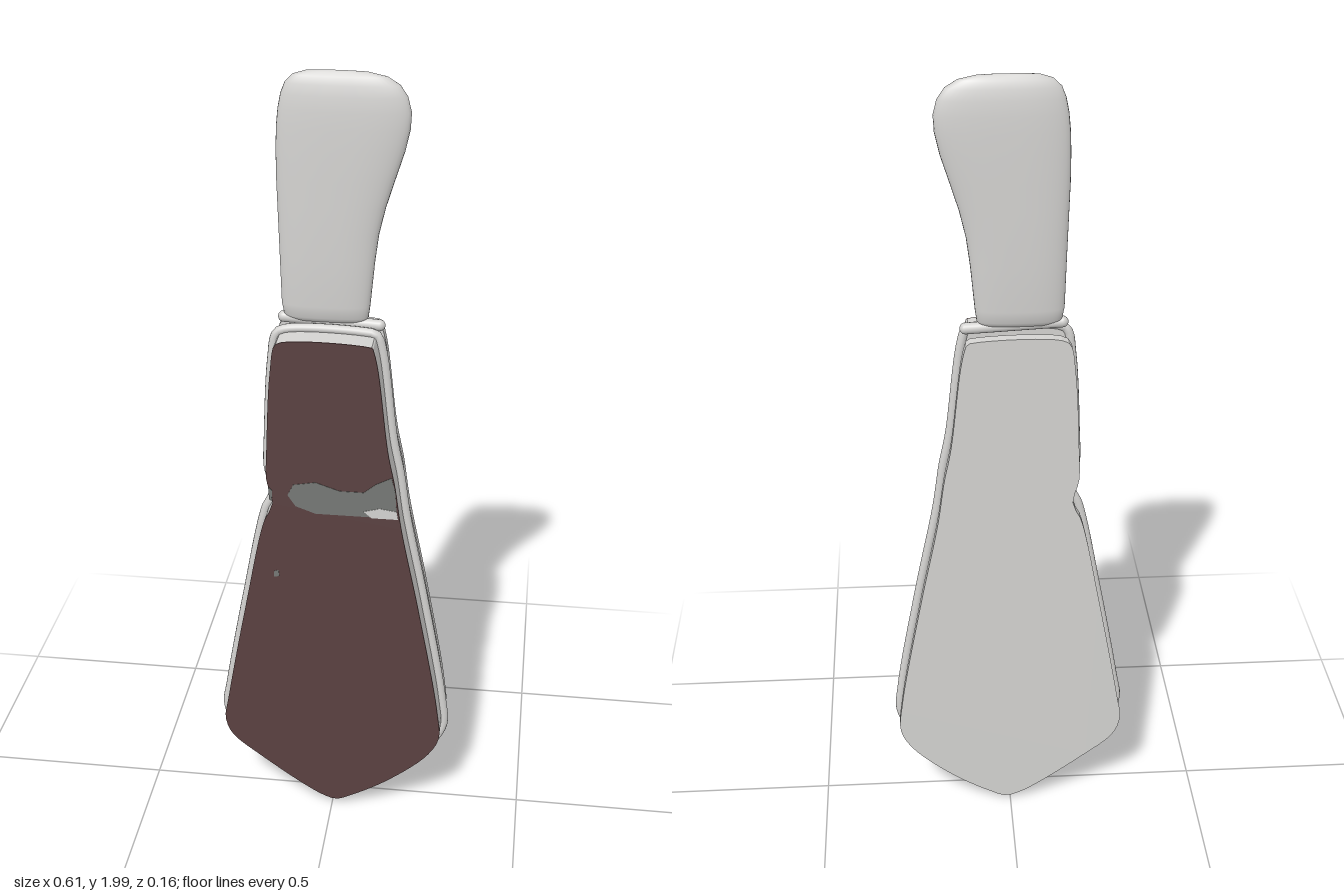
import * as THREE from 'three';

// Blade silhouette, counter-clockwise from the top left corner
const OUTLINE = [
  [-0.125, 1.392], [-0.152, 1.375], [-0.166, 1.3], [-0.178, 1.1], [-0.18, 1.0], [-0.166, 0.94],
  [-0.188, 0.89], [-0.24, 0.64], [-0.295, 0.34], [-0.305, 0.27], [-0.285, 0.21], [-0.2, 0.135],
  [-0.03, 0.018], [0.015, 0.007], [0.065, 0.028], [0.165, 0.09], [0.27, 0.185], [0.303, 0.25],
  [0.297, 0.34], [0.24, 0.655], [0.192, 0.89], [0.174, 1.01], [0.156, 1.1], [0.125, 1.34],
  [0.11, 1.385], [0.09, 1.392],
];

// Smooth closed loop of the silhouette, moved inwards by a distance
function insetLoop(inset, count = 150) {
  const curve = new THREE.CatmullRomCurve3(
    OUTLINE.map(([x, y]) => new THREE.Vector3(x, y, 0)), true, 'centripetal');
  const points = [];
  for (let i = 0; i < count; i++) {
    const p = curve.getPointAt(i / count);
    const t = curve.getTangentAt(i / count);
    points.push(new THREE.Vector2(p.x - t.y * inset, p.y + t.x * inset));
  }
  return points;
}

// Flat slab between two depths
function slab(name, points, back, front, material) {
  const geometry = new THREE.ExtrudeGeometry(new THREE.Shape(points), {
    depth: front - back, bevelEnabled: false,
  });
  geometry.translate(0, 0, back);
  const mesh = new THREE.Mesh(geometry, material);
  mesh.name = name;
  return mesh;
}

// Grip from stacked rounded cross-sections: [y, left, right, half depth]
function gripGeometry() {
  const rows = [
    [1.395, -0.03, 0.0, 0.0], [1.398, -0.11, 0.065, 0.016], [1.41, -0.126, 0.077, 0.025],
    [1.44, -0.132, 0.081, 0.03], [1.55, -0.135, 0.091, 0.032], [1.62, -0.137, 0.1, 0.033],
    [1.685, -0.139, 0.115, 0.033], [1.75, -0.141, 0.135, 0.033], [1.82, -0.141, 0.157, 0.033],
    [1.87, -0.139, 0.168, 0.032], [1.91, -0.135, 0.17, 0.031], [1.945, -0.128, 0.161, 0.028],
    [1.97, -0.118, 0.144, 0.023], [1.988, -0.1, 0.115, 0.017], [1.997, -0.072, 0.075, 0.01],
    [2.0, -0.02, 0.02, 0.0],
  ];
  const sides = 40, zMid = -0.018;
  const bend = (v) => Math.sign(v) * Math.pow(Math.abs(v), 0.8);
  const positions = [], index = [];
  rows.forEach(([y, left, right, depth], i) => {
    for (let j = 0; j < sides; j++) {
      const a = (j / sides) * Math.PI * 2;
      positions.push((left + right) / 2 + bend(Math.cos(a)) * (right - left) / 2, y,
        zMid + bend(Math.sin(a)) * depth);
      if (i === rows.length - 1) continue;
      const p = i * sides + j, q = i * sides + (j + 1) % sides;
      index.push(p, p + sides, q, q, p + sides, q + sides);
    }
  });
  const geometry = new THREE.BufferGeometry();
  geometry.setAttribute('position', new THREE.Float32BufferAttribute(positions, 3));
  geometry.setIndex(index);
  geometry.computeVertexNormals();
  return geometry;
}

export function createModel() {
  const paint = (name, color) => new THREE.MeshStandardMaterial({ name, color });
  const light = paint('light grey', 0xd4d3d1);
  const brown = paint('dark brown', 0x5a4141);
  const grey = paint('mid grey', 0x757875);

  const model = new THREE.Group();
  model.name = 'trowel';

  // Front panel with its brown face
  const panel = insetLoop(0.018);
  model.add(slab('frontPanel', panel, 0.005, 0.077, light));
  model.add(slab('frontFace', panel, 0.077, 0.08, brown));

  // Worn patches on the face
  const patches = [
    ['wornBand', grey, [[-0.11, 0.965], [-0.09, 0.935], [-0.04, 0.917], [0.163, 0.917], [0.158, 0.99],
      [0.148, 1.03], [0.11, 1.01], [0.08, 0.985], [0.02, 0.985], [-0.04, 1.005], [-0.095, 0.995]]],
    ['edgeWear', grey, [[-0.15, 0.945], [-0.148, 0.975], [-0.158, 0.985], [-0.156, 0.95]]],
    ['speck', grey, [[-0.148, 0.725], [-0.134, 0.728], [-0.136, 0.746], [-0.147, 0.742]]],
    ['brightChip', light, [[0.08, 0.932], [0.1, 0.915], [0.166, 0.915], [0.162, 0.937], [0.12, 0.943]]],
  ];
  patches.forEach(([name, material, corners], i) => {
    const points = corners.map(([x, y]) => new THREE.Vector2(x, y));
    model.add(slab(name, points, 0.079, i === 3 ? 0.082 : 0.081, material));
  });

  // Rounded rim around the panel
  const rimPath = new THREE.CatmullRomCurve3(
    insetLoop(0.0115).map((p) => new THREE.Vector3(p.x, p.y, 0.0105)), true);
  const rim = new THREE.Mesh(new THREE.TubeGeometry(rimPath, 220, 0.0115, 12, true), light);
  rim.name = 'rim';
  model.add(rim);

  // Separate rear plate
  model.add(slab('rearPlate', insetLoop(0.011), -0.083, -0.055, light));

  // Handle and the narrow collar beneath it
  const handle = new THREE.Mesh(gripGeometry(), light);
  handle.name = 'handle';
  model.add(handle);

  const collar = new THREE.Mesh(new THREE.CapsuleGeometry(0.014, 0.232, 6, 14), light);
  collar.name = 'collar';
  collar.rotation.z = Math.PI / 2 - 0.05;
  collar.position.set(-0.012, 1.396, -0.018);
  model.add(collar);

  return model;
}
